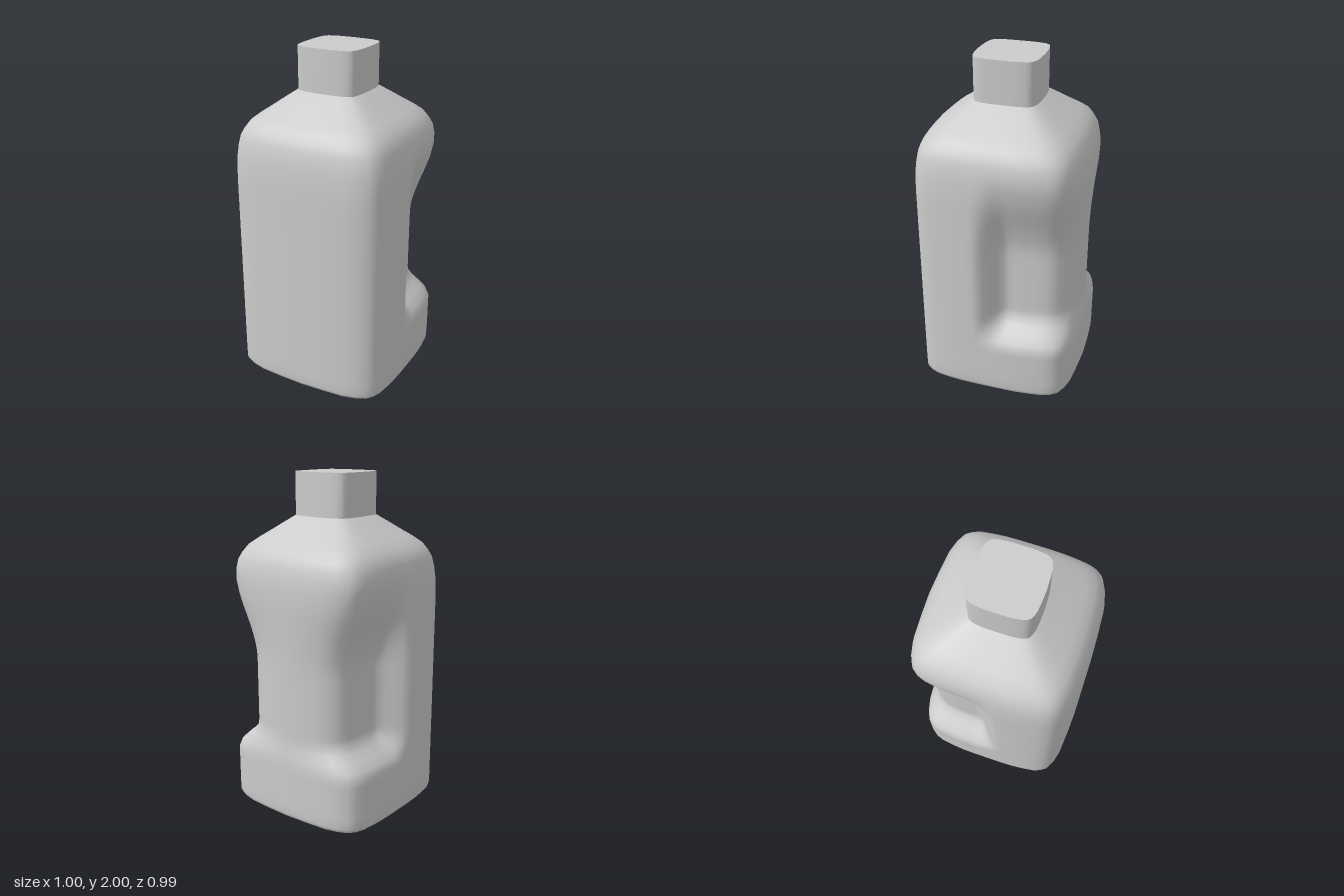
import * as THREE from 'three';

// Quarter outline of the rounded-square section, from front centre to side centre [x, z]
const quarter = [[0, 0.495], [0.15, 0.489], [0.29, 0.479], [0.37, 0.459], [0.43, 0.43], [0.46, 0.39],
  [0.478, 0.34], [0.489, 0.26], [0.496, 0.18], [0.497, 0.13], [0.498, 0.09], [0.498, 0.06], [0.498, 0.03]];
const half = [...quarter, [0.498, 0], ...quarter.map(([x, z]) => [x, -z]).reverse()];
const outline = [...half, ...half.slice(1, -1).reverse().map(([x, z]) => [-x, z])];

const step = THREE.MathUtils.smoothstep;

// Grip recess: pinches both sides behind the middle, fading out towards the shoulder
function pinch(x, y, z) {
  const v = step(y, 0.32, 0.5) * (1 - step(y, 0.9, 1.48));
  const side = v * (1 - step(z, -0.09, 0.08));
  const back = v * (1 - step(z, -0.45, -0.2));
  return [x * (1 - 0.3 * side), y, z + back * (0.012 + 0.04 * Math.min(1, Math.abs(x) / 0.45))];
}

const ring = (y, s) => outline.map(([x, z]) => pinch(x * s, y, z * s));

function geometryFrom(points, index) {
  const g = new THREE.BufferGeometry();
  g.setAttribute('position', new THREE.Float32BufferAttribute(points.flat(), 3));
  g.setIndex(index);
  g.computeVertexNormals();
  return g;
}

// Smooth skin through a stack of rings
function loft(rings) {
  const n = outline.length, index = [];
  for (let i = 0; i < rings.length - 1; i++) {
    for (let j = 0; j < n; j++) {
      const a = i * n + j, b = i * n + (j + 1) % n;
      index.push(a, b, b + n, a, b + n, a + n);
    }
  }
  return geometryFrom(rings.flat(), index);
}

// Flat end closing a ring
function cap(points, up) {
  const n = points.length, index = [];
  for (let j = 0; j < n; j++) {
    const k = (j + 1) % n;
    index.push(n, up ? j : k, up ? k : j);
  }
  return geometryFrom([...points, [0, points[0][1], 0]], index);
}

export function createModel() {
  const group = new THREE.Group();
  const material = new THREE.MeshStandardMaterial({ color: 0xcccccc });
  const add = (name, geometry) => {
    const mesh = new THREE.Mesh(geometry, material);
    mesh.name = name;
    group.add(mesh);
  };

  // Body: rounded foot, straight walls, sloping shoulder
  const body = [[0, 0.972], [0.008, 0.986], [0.025, 0.997]];
  for (let y = 0.08; y < 1.27; y += 0.04) body.push([y, 1]);
  body.push([1.3, 0.998], [1.38, 0.99], [1.44, 0.975], [1.5, 0.95], [1.54, 0.91],
    [1.58, 0.855], [1.62, 0.755], [1.66, 0.64], [1.7, 0.53], [1.735, 0.43], [1.75, 0.388]);
  add('body', loft(body.map(([y, s]) => ring(y, s))));
  add('base', cap(ring(0, 0.972), false));

  // Neck with closed top
  add('neck', loft([ring(1.75, 0.388), ring(2, 0.388)]));
  add('neckTop', cap(ring(2, 0.388), true));

  return group;
}
